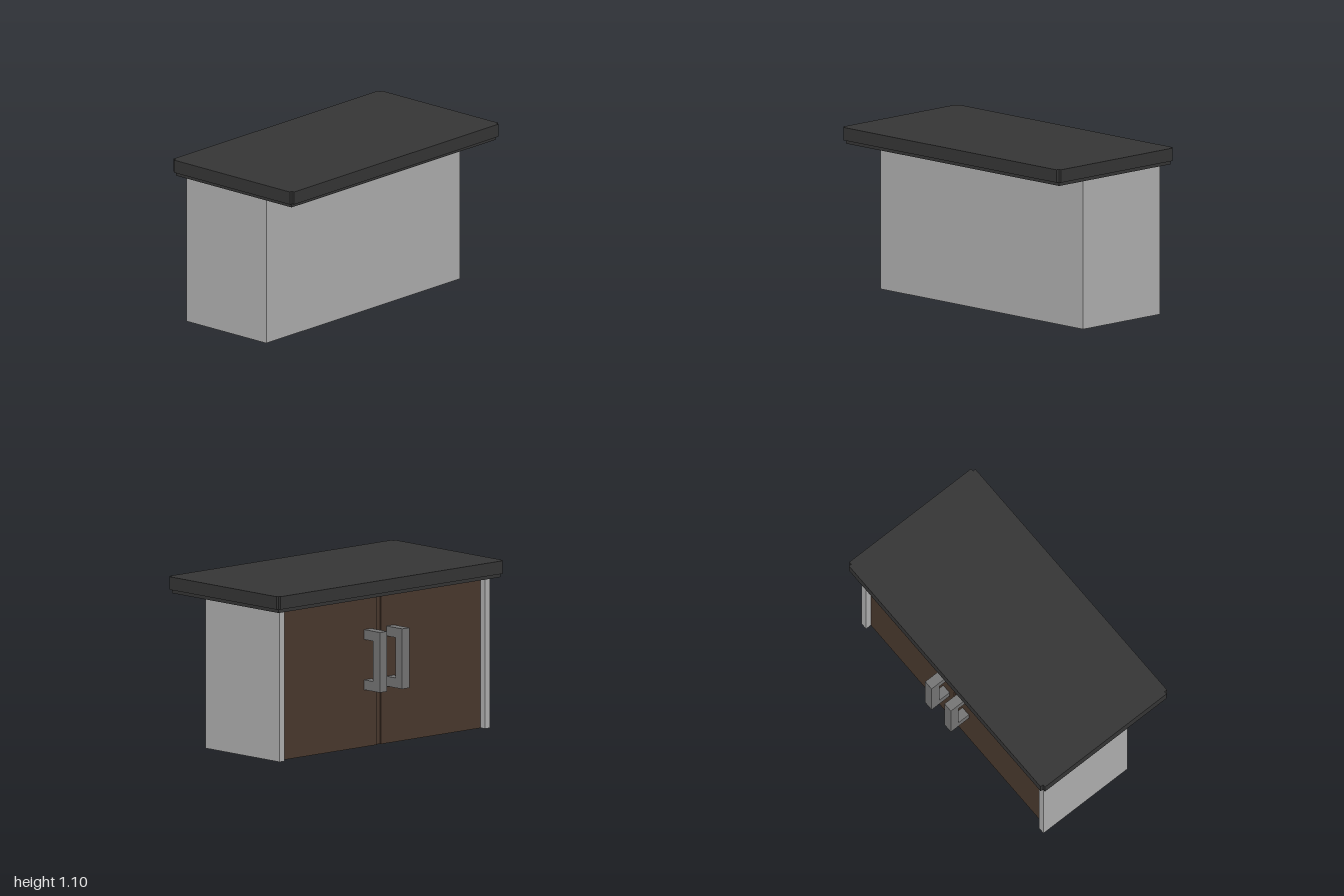
import * as THREE from 'three';

const paint = (name, color) => Object.assign(new THREE.MeshStandardMaterial({ color }), { name });

export function createModel() {
  const model = new THREE.Group();
  model.name = 'cabinet';
  const bodyGrey = paint('bodyGrey', 0xb0b0b0);
  const topBlack = paint('topBlack', 0x353535);
  const doorBrown = paint('doorBrown', 0x4a392e);
  const handleGrey = paint('handleGrey', 0x757575);

  const add = (name, geometry, material, parent = model) => {
    const mesh = new THREE.Mesh(geometry, material);
    mesh.name = name;
    parent.add(mesh);
    return mesh;
  };

  // box given by its limits on each axis
  const box = (name, [x0, x1], [y0, y1], [z0, z1], material, parent) => {
    const mesh = add(name, new THREE.BoxGeometry(x1 - x0, y1 - y0, z1 - z0), material, parent);
    mesh.position.set((x0 + x1) / 2, (y0 + y1) / 2, (z0 + z1) / 2);
    return mesh;
  };

  // floor plan (x, z) raised from y0 to y1
  const raise = (points, y0, y1) => {
    const shape = new THREE.Shape(points.map(([x, z]) => new THREE.Vector2(x, -z)));
    return new THREE.ExtrudeGeometry(shape, { depth: y1 - y0, bevelEnabled: false })
      .rotateX(-Math.PI / 2).translate(0, y0, 0);
  };

  // carcass with side panels projecting past the recessed doors
  add('body', raise([
    [0.26, -0.93], [0.26, 0.93], [-0.44, 0.93], [-0.44, 0.885],
    [-0.385, 0.885], [-0.385, -0.885], [-0.44, -0.885], [-0.44, -0.93],
  ], 0, 0.99), bodyGrey);

  // worktop with notched corners, over a narrower lower layer
  add('worktop', raise([
    [-0.485, -1], [0.53, -1], [0.53, -0.98], [0.55, -0.98], [0.55, 0.98], [0.53, 0.98],
    [0.53, 1], [-0.485, 1], [-0.485, 0.98], [-0.505, 0.98], [-0.505, -0.98], [-0.485, -0.98],
  ], 1.015, 1.1), topBlack);
  box('worktopUnderlayer', [-0.485, 0.527], [0.99, 1.015], [-0.98, 0.98], topBlack);

  // two doors, with a brown strip behind the gap between them
  const doorCentre = -0.015, halfGap = 0.02;
  box('backDoor', [-0.4, -0.385], [0, 0.99], [-0.885, doorCentre - halfGap], doorBrown);
  box('frontDoor', [-0.4, -0.385], [0, 0.99], [doorCentre + halfGap, 0.885], doorBrown);
  box('gapStrip', [-0.389, -0.385], [0, 0.99],
    [doorCentre - halfGap, doorCentre + halfGap], doorBrown);

  // C-shaped pull handles, either side of the gap
  const profile = new THREE.Shape([
    [-0.4, 0.375], [-0.4, 0.44], [-0.485, 0.44], [-0.485, 0.705],
    [-0.4, 0.705], [-0.4, 0.77], [-0.55, 0.77], [-0.55, 0.375],
  ].map(([x, y]) => new THREE.Vector2(x, y)));
  for (const [name, z] of [['backHandle', -0.145], ['frontHandle', 0.052]]) {
    const geometry = new THREE.ExtrudeGeometry(profile, { depth: 0.065, bevelEnabled: false });
    add(name, geometry, handleGrey).position.z = z;
  }

  return model;
}
